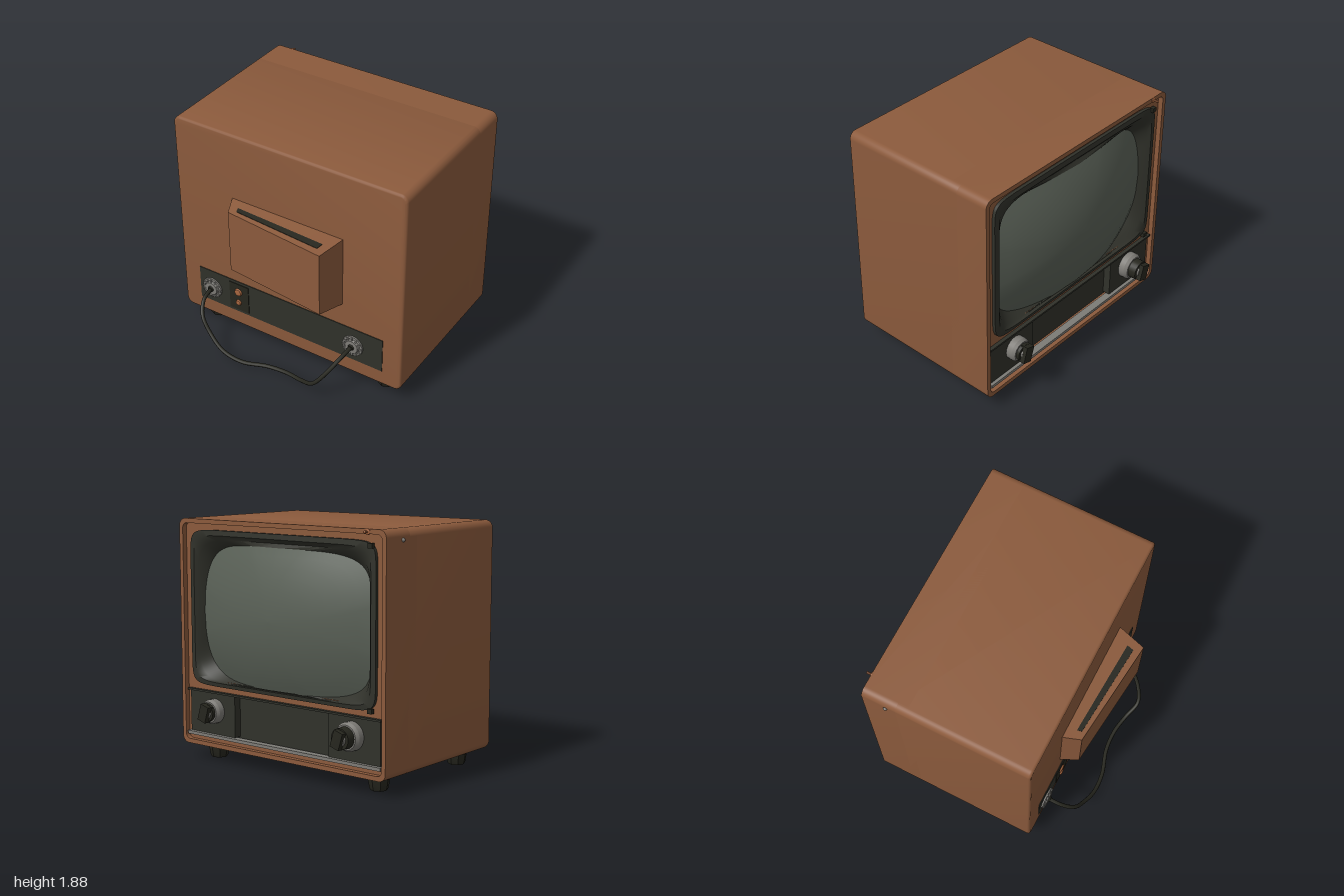
import * as THREE from 'three';
import { toCreasedNormals } from 'three/addons/utils/BufferGeometryUtils.js';

const mat = (name, color, side = THREE.FrontSide) => {
  const m = new THREE.MeshStandardMaterial({ color, side });
  m.name = name;
  return m;
};

export function createModel() {
  const root = new THREE.Group();
  root.name = 'television';
  const brown = mat('brown cabinet', 0x8b5a3c);
  const dark = mat('dark trim', 0x30312a, THREE.DoubleSide);
  const black = mat('black rubber', 0x26261e);
  const glassMat = mat('screen glass', 0x596056);
  const grey = mat('grey metal', 0x7d7b76);
  const copper = mat('copper', 0xa8663f);

  const add = (name, geo, material, x = 0, y = 0, z = 0) => {
    const m = new THREE.Mesh(geo, material);
    m.name = name;
    m.position.set(x, y, z);
    root.add(m);
    return m;
  };
  const box = (name, material, w, h, d, x, y, z) =>
    add(name, new THREE.BoxGeometry(w, h, d), material, x, y, z);

  // Rounded rectangle outline, used for solids and holes
  const roundRect = (x0, y0, x1, y1, r, Type = THREE.Shape) => {
    const s = new Type();
    s.absarc(x1 - r, y0 + r, r, -Math.PI / 2, 0);
    s.absarc(x1 - r, y1 - r, r, 0, Math.PI / 2);
    s.absarc(x0 + r, y1 - r, r, Math.PI / 2, Math.PI);
    s.absarc(x0 + r, y0 + r, r, Math.PI, Math.PI * 1.5);
    s.closePath();
    return s;
  };
  const extrude = (shape, depth, bevel = 0) => toCreasedNormals(new THREE.ExtrudeGeometry(shape, {
    depth, curveSegments: 6, bevelEnabled: bevel > 0, bevelSize: bevel, bevelThickness: bevel, bevelSegments: 3,
  }), 0.6);

  // Turned part along z; dir is +1 for the cable side, -1 for the screen side
  const turned = (name, material, pts, dir, x, y, z, sides = 24) => {
    const g = new THREE.LatheGeometry(pts.map(p => new THREE.Vector2(...p)), sides);
    g.rotateX(dir * Math.PI / 2);
    return add(name, toCreasedNormals(g, 0.5), material, x, y, z);
  };

  // Cabinet: closed rear body, open front shell and recessed fascia
  add('cabinetBody', extrude(roundRect(-0.98, 0.14, 0.98, 1.86, 0.04), 1.04, 0.02), brown, 0, 0, -0.48);
  const shell = roundRect(-1, 0.12, 1, 1.88, 0.06);
  shell.holes.push(roundRect(-0.965, 0.155, 0.965, 1.845, 0.04, THREE.Path));
  add('cabinetShell', extrude(shell, 0.35), brown, 0, 0, -0.75);
  const fascia = roundRect(-0.97, 0.15, 0.97, 1.85, 0.04);
  fascia.holes.push(roundRect(-0.86, 0.64, 0.86, 1.77, 0.1, THREE.Path));
  fascia.holes.push(roundRect(-0.94, 0.2, 0.94, 0.55, 0.01, THREE.Path));
  add('fascia', extrude(fascia, 0.2), brown, 0, 0, -0.71);

  // Superellipse ring and a loft of rings running outside to inside, facing -z
  const SEG = 96;
  const ring = (a, b, cy, n, zf) => Array.from({ length: SEG }, (_, i) => {
    const t = i / SEG * Math.PI * 2, c = Math.cos(t), s = Math.sin(t);
    const x = a * Math.sign(c) * Math.abs(c) ** (2 / n);
    const y = cy + b * Math.sign(s) * Math.abs(s) ** (2 / n);
    return [x, y, typeof zf === 'function' ? zf(x, y) : zf];
  });
  const loft = rings => {
    const g = new THREE.BufferGeometry(), idx = [];
    for (let r = 0; r < rings.length - 1; r++) {
      for (let i = 0; i < SEG; i++) {
        const a = r * SEG + i, b = r * SEG + (i + 1) % SEG, c = a + SEG, d = b + SEG;
        idx.push(a, c, b, b, c, d);
      }
    }
    g.setAttribute('position', new THREE.Float32BufferAttribute(rings.flat(2), 3));
    g.setIndex(idx);
    g.computeVertexNormals();
    return g;
  };

  // Bulging picture tube and the bezel that slopes down to it
  const bulge = (x, y) => -0.85 + 0.1 * ((x / 0.62) ** 2 + ((y - 1.17) / 0.5) ** 2);
  const glassRings = [1, 0.88, 0.75, 0.6, 0.45, 0.3, 0.15, 0.001]
    .map(t => ring(0.81 * t, 0.53 * t, 1.17, 2 + 2.5 * t, bulge));
  add('screen', loft(glassRings), glassMat);
  add('screenBezel', toCreasedNormals(loft([
    ring(0.9, 0.6, 1.2, 14, -0.7), ring(0.9, 0.6, 1.2, 14, -0.735),
    ring(0.86, 0.565, 1.195, 12, -0.74), ring(0.835, 0.55, 1.18, 7, -0.715),
    ring(0.805, 0.527, 1.17, 4.5, (x, y) => bulge(x, y) + 0.002),
  ]), 0.6), dark);

  // Control panel with a deeper middle and a metal strip below
  box('controlPanelBack', dark, 1.9, 0.36, 0.04, 0, 0.375, -0.64);
  for (const s of [-1, 1]) box('controlPanelEnd', dark, 0.47, 0.33, 0.08, s * 0.7, 0.385, -0.68);
  box('trimStrip', grey, 1.9, 0.025, 0.06, 0, 0.205, -0.715);
  box('trimLine', dark, 1.9, 0.015, 0.05, 0, 0.55, -0.715);

  // Tuning knobs: metal skirt, dark dial and grip
  for (const [x, r, tip] of [[-0.68, 0.108, 0.18], [0.67, 0.095, 0.14]]) {
    turned('knobSkirt', grey, [[0, 0], [r, 0], [r, 0.05], [r * 0.85, 0.075], [0, 0.075]], -1, x, 0.405, -0.72);
    turned('knobDial', black, [[0, 0], [r * 0.78, 0], [r * 0.72, tip - 0.04], [0, tip - 0.04]], -1, x, 0.405, -0.72);
    box('knobGrip', black, 0.08, 0.13, 0.06, x, 0.405, -0.72 - tip + 0.03).rotation.z = 0.3;
    turned('knobCap', grey, [[0, 0], [r * 0.5, 0], [r * 0.45, 0.012], [0, 0.012]], -1, x, 0.405, -0.68 - tip);
  }

  // Small button, screw and bezel clips
  turned('topButton', copper, [[0, 0], [0.022, 0], [0.022, 0.01], [0.008, 0.015], [0.01, 0.045], [0, 0.05]],
    -1, -0.84, 1.86, -0.745, 10);
  add('sideScrew', new THREE.SphereGeometry(0.016, 10, 6), grey, -1, 1.8, -0.56);
  for (const y of [0.61, 1.765]) box('bezelClip', black, 0.04, 0.035, 0.03, -0.86, y, -0.74);

  // Skewed tube housing on the rear, and its vent slot on the same taper
  const housing = (w, h, d, v, wz) => {
    const g = new THREE.BoxGeometry(w, h, d, 8, 1, 1), p = g.attributes.position;
    for (let i = 0; i < p.count; i++) {
      const u = p.getX(i), t = p.getZ(i) + wz, k = p.getY(i) + v;
      const x = u * (0.98 - 0.12 * t);
      p.setXYZ(i, x, 1.035 + k * (0.59 - 0.06 * t), 0.57 + t * (0.19 + 0.09 * u));
    }
    g.computeVertexNormals();
    return g;
  };
  add('tubeHousing', housing(1, 1, 1, 0, 0.5), brown);
  add('ventSlot', housing(0.84, 0.008, 0.24, 0.502, 0.65), black);

  // Rear connection plate with terminals
  box('rearPlate', dark, 1.68, 0.295, 0.009, 0, 0.4, 0.581);
  box('terminalPlate', black, 0.18, 0.25, 0.008, -0.46, 0.4, 0.587);
  for (const [y, r] of [[0.45, 0.036], [0.35, 0.027]])
    turned('terminal', copper, [[0, 0], [r, 0], [r * 0.8, 0.015], [0, 0.02]], 1, -0.465, y, 0.588, 12);

  // Ribbed sockets at both cable ends
  for (const x of [-0.72, 0.585]) {
    turned('socket', grey, [[0, 0], [0.09, 0], [0.088, 0.015], [0.07, 0.018], [0.064, 0.012],
      [0.055, 0.03], [0.035, 0.032], [0, 0.032]], 1, x, 0.39, 0.582);
    for (let i = 0; i < 12; i++) {
      const a = i / 12 * Math.PI * 2;
      box('socketRib', grey, 0.03, 0.012, 0.012,
        x + 0.07 * Math.cos(a), 0.39 + 0.07 * Math.sin(a), 0.6).rotation.z = a;
    }
    turned('socketPlug', black, [[0, 0], [0.03, 0], [0.022, 0.02], [0, 0.02]], 1, x, 0.39, 0.605, 12);
  }

  // Hanging cable
  const cable = new THREE.CatmullRomCurve3([
    [-0.72, 0.39, 0.61], [-0.71, 0.36, 0.72], [-0.66, 0.28, 0.81], [-0.56, 0.17, 0.85], [-0.42, 0.08, 0.88],
    [-0.25, 0.04, 0.87], [-0.05, 0.045, 0.81], [0.12, 0.055, 0.8], [0.28, 0.075, 0.83], [0.41, 0.14, 0.87],
    [0.5, 0.25, 0.82], [0.56, 0.35, 0.73], [0.585, 0.39, 0.61],
  ].map(p => new THREE.Vector3(...p)));
  add('cable', new THREE.TubeGeometry(cable, 80, 0.016, 8), black);

  // Four stepped feet
  const footProfile = [[0, 0], [0.062, 0], [0.07, 0.015], [0.082, 0.085], [0.1, 0.1], [0.1, 0.13]]
    .map(p => new THREE.Vector2(...p));
  for (const x of [-0.8, 0.79]) for (const z of [0.42, -0.56])
    add('foot', toCreasedNormals(new THREE.LatheGeometry(footProfile, 8), 0.5), black, x, 0, z);

  return root;
}
